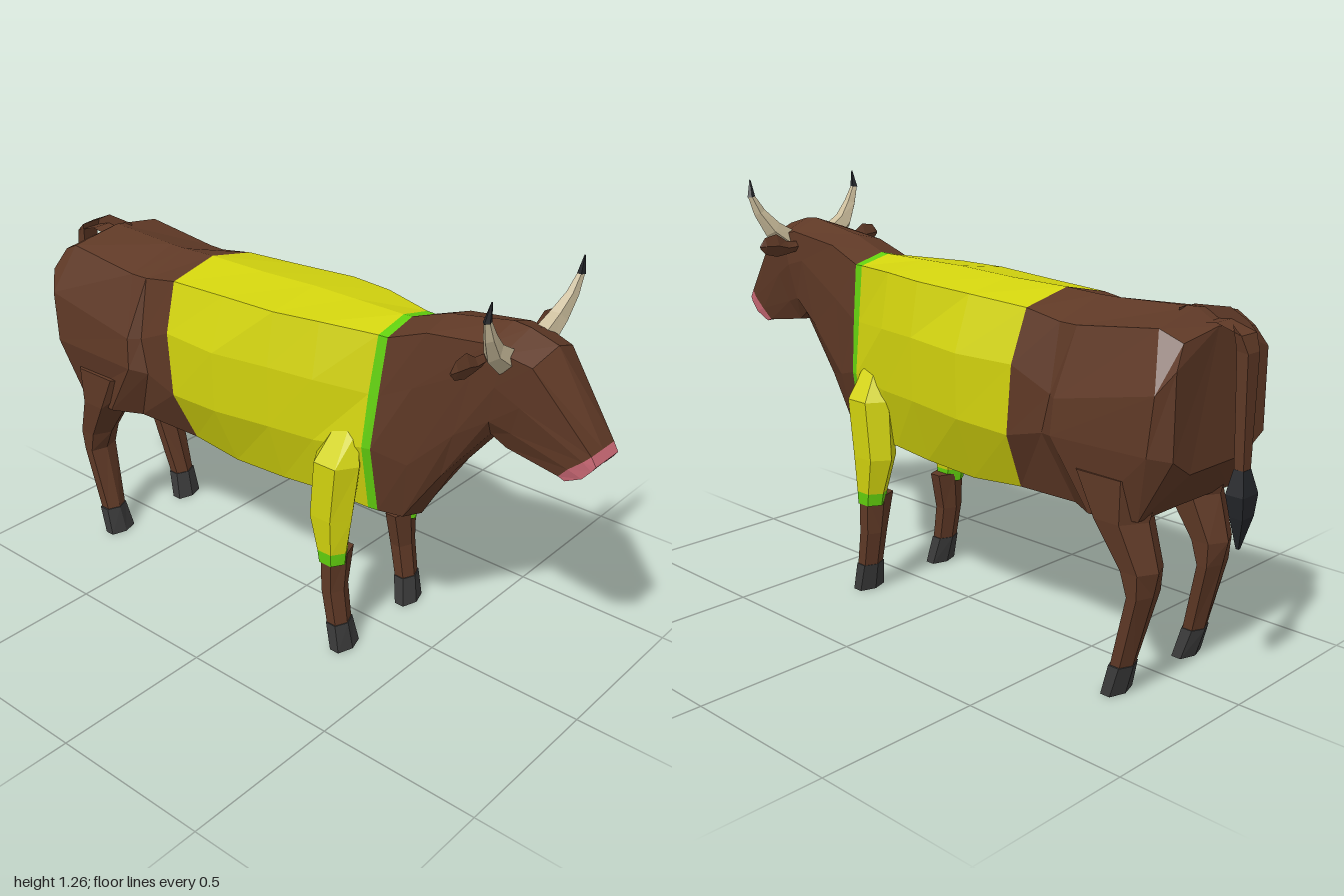
import * as THREE from 'three';

const paint = (color) => new THREE.MeshStandardMaterial({ color, flatShading: true, roughness: 0.9 });
const HIDE = paint(0x5f3926), YELLOW = paint(0xd3d40e), GREEN = paint(0x62d00e), PINK = paint(0xc96874);
const HOOF = paint(0x3b3b3b), HORN = paint(0xcbbd9c), DARK = paint(0x24262a);

// Skin a series of equal-length rings, closing both ends; faces are turned outward.
function loft(name, rings, material, caps = true) {
  const n = rings[0].length, pos = [], idx = [];
  rings.forEach((r) => r.forEach((p) => pos.push(...p)));
  for (let i = 0; i < rings.length - 1; i++) {
    for (let j = 0; j < n; j++) {
      const a = i * n + j, b = i * n + (j + 1) % n;
      idx.push(a, b, b + n, a, b + n, a + n);
    }
  }
  const last = (rings.length - 1) * n;
  if (caps) for (let j = 1; j < n - 1; j++) idx.push(0, j + 1, j, last, last + j, last + j + 1);
  const V = (i) => new THREE.Vector3().fromArray(pos, i * 3);
  const mid = new THREE.Vector3();
  for (let i = 0; i < pos.length / 3; i++) mid.add(V(i));
  mid.divideScalar(pos.length / 3);
  let volume = 0;
  for (let i = 0; i < idx.length; i += 3) {
    const [a, b, c] = [0, 1, 2].map((k) => V(idx[i + k]).sub(mid));
    volume += a.dot(b.cross(c));
  }
  if (volume < 0) idx.reverse();
  const geo = new THREE.BufferGeometry();
  geo.setAttribute('position', new THREE.Float32BufferAttribute(pos, 3));
  geo.setIndex(idx);
  geo.computeVertexNormals();
  const mesh = new THREE.Mesh(geo, material);
  mesh.name = name;
  return mesh;
}

// Full ring from a half profile running top centre to bottom centre.
const mirrorRing = (half) => [...half, ...half.slice(1, -1).reverse().map(([x, y, z]) => [-x, y, z])];

// Six-sided horizontal ring filling the given x and z ranges.
function legRing(side, [y, x0, x1, z0, z1]) {
  return Array.from({ length: 6 }, (_, i) => {
    const a = (i * Math.PI) / 3;
    return [side * ((x0 + x1) / 2 + (Math.sin(a) / 0.866) * (x1 - x0) / 2), y, (z0 + z1) / 2 + Math.cos(a) * (z1 - z0) / 2];
  });
}

// Body and head stations, tail end to nose: top, back edge, upper side, lower side, belly edge, bottom.
const RUMP = [
  [[0, 1.0, -0.88], [0.155, 0.98, -0.885], [0.2, 0.92, -0.9], [0.2, 0.69, -0.9], [0.12, 0.64, -0.895], [0, 0.64, -0.895]],
  [[0, 1.04, -0.81], [0.17, 1.01, -0.82], [0.238, 0.86, -0.865], [0.243, 0.7, -0.85], [0.2, 0.51, -0.8], [0, 0.5, -0.78]],
  [[0, 1.03, -0.56], [0.17, 0.98, -0.56], [0.228, 0.79, -0.535], [0.235, 0.69, -0.53], [0.215, 0.5, -0.65], [0, 0.49, -0.63]],
  [[0, 1.03, -0.5], [0.167, 0.98, -0.5], [0.202, 0.79, -0.5], [0.205, 0.68, -0.475], [0.16, 0.495, -0.56], [0, 0.485, -0.56]],
];
const WAIST = [[0, 1.035, -0.38], [0.165, 1.0, -0.38], [0.213, 0.85, -0.37], [0.213, 0.65, -0.355], [0.135, 0.48, -0.34], [0, 0.465, -0.34]];
const JACKET = [
  [[0, 1.037, -0.17], [0.17, 1.01, -0.17], [0.226, 0.85, -0.17], [0.222, 0.66, -0.17], [0.14, 0.465, -0.16], [0, 0.445, -0.16]],
  [[0, 1.045, 0.03], [0.178, 1.02, 0.03], [0.207, 0.86, 0.03], [0.203, 0.67, 0.03], [0.14, 0.475, 0.03], [0, 0.455, 0.03]],
  [[0, 1.045, 0.18], [0.155, 1.025, 0.18], [0.185, 0.86, 0.18], [0.18, 0.67, 0.18], [0.13, 0.485, 0.18], [0, 0.46, 0.18]],
];
const HEM = [[0, 1.045, 0.35], [0.11, 1.02, 0.35], [0.135, 0.85, 0.34], [0.155, 0.69, 0.335], [0.117, 0.48, 0.335], [0, 0.465, 0.335]];
const COLLAR = [[0, 1.047, 0.38], [0.108, 1.02, 0.38], [0.13, 0.85, 0.37], [0.147, 0.69, 0.36], [0.112, 0.48, 0.365], [0, 0.465, 0.37]];
const NECK = [
  [[0, 1.09, 0.5], [0.1, 1.065, 0.5], [0.115, 0.9, 0.47], [0.11, 0.66, 0.46], [0.08, 0.47, 0.43], [0, 0.45, 0.44]],
  [[0, 1.125, 0.7], [0.1, 1.09, 0.69], [0.105, 1.0, 0.65], [0.1, 0.8, 0.6], [0.07, 0.64, 0.545], [0, 0.63, 0.545]],
  [[0, 1.12, 0.75], [0.108, 1.08, 0.74], [0.105, 0.98, 0.72], [0.09, 0.87, 0.7], [0.06, 0.82, 0.69], [0, 0.815, 0.695]],
  [[0, 1.095, 0.835], [0.095, 1.06, 0.82], [0.092, 0.94, 0.79], [0.075, 0.85, 0.76], [0.05, 0.79, 0.735], [0, 0.785, 0.735]],
];
const SNOUT = [[0, 0.855, 0.985], [0.056, 0.855, 0.985], [0.061, 0.835, 0.965], [0.061, 0.8, 0.925], [0.052, 0.765, 0.895], [0, 0.765, 0.895]];
const NOSE = [[0, 0.83, 1.0], [0.055, 0.83, 1.0], [0.057, 0.815, 0.99], [0.057, 0.785, 0.965], [0.052, 0.758, 0.915], [0, 0.758, 0.915]];

// Lower legs and hooves, top to bottom: y, inner x, outer x, back z, front z.
const FRONT_LEG = {
  sleeve: [[0.73, 0.12, 0.155, 0.22, 0.31], [0.63, 0.1, 0.222, 0.18, 0.335], [0.45, 0.115, 0.219, 0.165, 0.315], [0.335, 0.132, 0.211, 0.2, 0.3]],
  cuff: [[0.335, 0.132, 0.211, 0.2, 0.3], [0.295, 0.135, 0.209, 0.208, 0.297]],
  shin: [[0.32, 0.1, 0.207, 0.215, 0.29], [0.2, 0.125, 0.206, 0.22, 0.29], [0.09, 0.128, 0.203, 0.24, 0.305]],
  hoof: [[0.09, 0.125, 0.206, 0.238, 0.308], [0, 0.11, 0.208, 0.258, 0.322]],
};
const HIND_LEG = {
  shin: [[0.62, 0.08, 0.235, -0.84, -0.55], [0.5, 0.085, 0.232, -0.805, -0.64], [0.37, 0.1, 0.213, -0.84, -0.73],
    [0.3, 0.103, 0.208, -0.825, -0.76], [0.09, 0.125, 0.2, -0.772, -0.708]],
  hoof: [[0.09, 0.122, 0.205, -0.775, -0.705], [0, 0.11, 0.208, -0.748, -0.685]],
};
const LEG_PAINT = { sleeve: YELLOW, cuff: GREEN, shin: HIDE, hoof: HOOF };

function makeLeg(name, side, spec) {
  const leg = new THREE.Group();
  leg.name = name;
  for (const part in spec) leg.add(loft(part, spec[part].map((r) => legRing(side, r)), LEG_PAINT[part]));
  return leg;
}

// Five-sided horn ring, tilted by angle in the front plane.
const hornRing = (side, [x, y, z, r, tilt]) => Array.from({ length: 5 }, (_, i) => {
  const a = (i * Math.PI * 2) / 5, u = Math.cos(a) * r;
  return [side * (x + u * Math.cos(tilt)), y + u * Math.sin(tilt), z + Math.sin(a) * r * 0.8];
});

// Flat ear ring: x, low y, high y, half thickness.
const earRing = (side, [x, y0, y1, t]) => [[side * x, y0, 0.68], [side * x, (y0 + y1) / 2, 0.68 + t], [side * x, y1, 0.68], [side * x, (y0 + y1) / 2, 0.68 - t]];

// Tail ring: centre y and z, half width, half depth, tilt of the section.
const tailRing = ([y, z, w, d, a]) => [[-1, -1], [1, -1], [1, 1], [-1, 1]].map(
  ([u, v]) => [u * w, y + v * d * Math.cos(a), z + v * d * Math.sin(a)]);

export function createModel() {
  const model = new THREE.Group();
  model.name = 'bull';

  // Trunk, neck and head
  const skin = (name, stations, material) => model.add(loft(name, stations.map(mirrorRing), material));
  skin('hindquarters', [...RUMP, WAIST], HIDE);
  skin('jacket', [WAIST, ...JACKET, HEM], YELLOW);
  skin('collar', [HEM, COLLAR], GREEN);
  skin('neckAndHead', [COLLAR, ...NECK, SNOUT], HIDE);
  skin('muzzle', [SNOUT, NOSE], PINK);

  // Paired parts
  for (const [label, s] of [['left', 1], ['right', -1]]) {
    model.add(makeLeg(label + 'FrontLeg', s, FRONT_LEG), makeLeg(label + 'HindLeg', s, HIND_LEG));

    const horn = [[0.085, 1.055, 0.735, 0.04, -0.95], [0.15, 1.1, 0.74, 0.032, -0.75], [0.19, 1.155, 0.752, 0.021, -0.4], [0.215, 1.208, 0.758, 0.012, -0.1]];
    model.add(loft(label + 'Horn', horn.map((r) => hornRing(s, r)), HORN));
    const tip = [[0.215, 1.205, 0.758, 0.014, -0.1], [0.212, 1.258, 0.765, 0.002, 0]];
    model.add(loft(label + 'HornTip', tip.map((r) => hornRing(s, r)), DARK));

    const ear = [[0.09, 1.03, 1.06, 0.012], [0.14, 1.022, 1.065, 0.012], [0.18, 1.018, 1.09, 0.014], [0.225, 1.03, 1.083, 0.01], [0.244, 1.05, 1.06, 0.003]];
    model.add(loft(label + 'Ear', ear.map((r) => earRing(s, r)), HIDE));
  }

  // Tail arching off the rump, with a dark tuft
  const tail = [[1.02, -0.78, 0.034, 0.018, 0], [1.03, -0.89, 0.034, 0.015, 0.15], [1.005, -0.955, 0.034, 0.018, 0.8],
    [0.95, -0.968, 0.026, 0.017, 1.45], [0.63, -0.97, 0.016, 0.014, 1.57]];
  model.add(loft('tail', tail.map(tailRing), HIDE));
  const tuft = [[0.645, -0.97, 0.017, 0.015, 1.57], [0.58, -0.972, 0.034, 0.027, 1.57], [0.52, -0.975, 0.026, 0.02, 1.57], [0.43, -0.97, 0.004, 0.004, 1.57]];
  model.add(loft('tailTuft', tuft.map(tailRing), DARK));

  return model;
}
